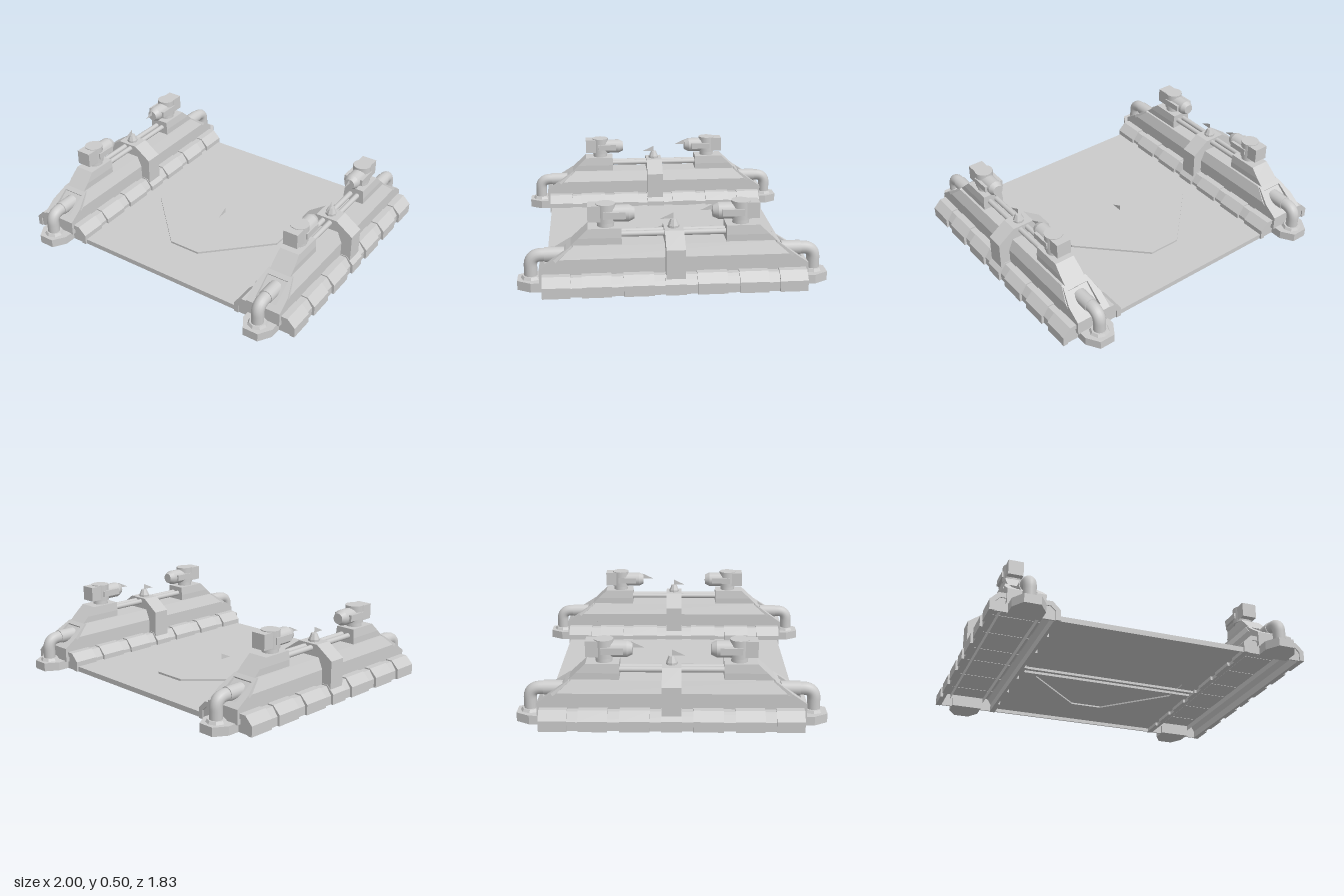
import * as THREE from 'three';

const smooth = new THREE.MeshStandardMaterial({ color: 0xcccccc, side: THREE.DoubleSide });
const flat = new THREE.MeshStandardMaterial({ color: 0xcccccc, side: THREE.DoubleSide, flatShading: true });

function add(parent, name, geo, mat = flat) {
  const m = new THREE.Mesh(geo, mat);
  m.name = name;
  parent.add(m);
  return m;
}

function box(parent, name, x0, x1, y0, y1, z0, z1) {
  const g = new THREE.BoxGeometry(x1 - x0, y1 - y0, z1 - z0);
  return add(parent, name, g.translate((x0 + x1) / 2, (y0 + y1) / 2, (z0 + z1) / 2));
}

const shapeOf = (pts) => new THREE.Shape(pts.map(([x, y]) => new THREE.Vector2(x, y)));
const extrude = (shape, depth) => new THREE.ExtrudeGeometry(shape, { depth, bevelEnabled: false });

// Profile in x/y swept from z0 to z1
function prism(parent, name, pts, z0, z1) {
  return add(parent, name, extrude(shapeOf(pts), z1 - z0).translate(0, 0, z0));
}

// Plan outline (x, z) raised from y0 to y1
function slab(parent, name, shape, y0, y1) {
  return add(parent, name, extrude(shape, y1 - y0).rotateX(-Math.PI / 2).translate(0, y0, 0));
}

// Stacked rectangles [y, halfX, zMin, zMax], open below and capped on top
function loft(parent, name, levels) {
  const pos = [], idx = [];
  for (const [y, h, a, b] of levels) pos.push(-h, y, b, h, y, b, h, y, a, -h, y, a);
  for (let l = 0; l < levels.length - 1; l++) {
    for (let i = 0; i < 4; i++) {
      const a = l * 4 + i, b = l * 4 + (i + 1) % 4;
      idx.push(a, b, b + 4, a, b + 4, a + 4);
    }
  }
  const t = (levels.length - 1) * 4;
  idx.push(t, t + 1, t + 2, t, t + 2, t + 3);
  const g = new THREE.BufferGeometry();
  g.setAttribute('position', new THREE.Float32BufferAttribute(pos, 3));
  g.setIndex(idx);
  const out = g.toNonIndexed();
  out.computeVertexNormals();
  return add(parent, name, out);
}

function cyl(parent, name, rTop, rBottom, y0, y1, z, sides = 16) {
  const g = new THREE.CylinderGeometry(rTop, rBottom, y1 - y0, sides);
  return add(parent, name, g.translate(0, (y0 + y1) / 2, z), sides > 8 ? smooth : flat);
}

// Cylinder lying along z
function rod(parent, name, r0, r1, z0, z1, x, y, sides = 16) {
  const g = new THREE.CylinderGeometry(r1, r0, z1 - z0, sides).rotateX(Math.PI / 2);
  return add(parent, name, g.translate(x, y, (z0 + z1) / 2), sides > 8 ? smooth : flat);
}

// Thin upright triangle pointing to +z
function fin(parent, y, z) {
  const g = new THREE.ShapeGeometry(shapeOf([[0, 0], [0.08, 0], [0, 0.038]]));
  return add(parent, 'pointerFin', g.rotateY(-Math.PI / 2).translate(0, y, z));
}

// Hollow arch profile with bevelled shoulders
function arch(w, side, shoulder, top, t) {
  const o = [[-w, 0], [-w, side], [-shoulder, top], [shoulder, top], [w, side], [w, 0]];
  const i = [[w - t, 0], [w - t, side - t / 3], [shoulder - t / 3, top - t],
    [-shoulder + t / 3, top - t], [-w + t, side - t / 3], [-w + t, 0]];
  return o.concat(i);
}

// Gun turret, barrel towards -z, sitting at z = 0.4
function turret() {
  const g = new THREE.Group();
  g.name = 'turret';
  cyl(g, 'turretNeck', 0.047, 0.05, 0.36, 0.41, 0.395);
  cyl(g, 'turretPivot', 0.058, 0.058, 0.39, 0.5, 0.395);
  loft(g, 'turretRear', [[0.4, 0.048, 0.4, 0.46], [0.4, 0.048, 0.4, 0.5], [0.495, 0.048, 0.4, 0.5]]);
  box(g, 'turretLugs', -0.064, 0.064, 0.42, 0.46, 0.28, 0.41);
  rod(g, 'barrel', 0.05, 0.05, 0.26, 0.39, 0, 0.438);
  rod(g, 'muzzle', 0.034, 0.05, 0.228, 0.26, 0, 0.438);
  return g;
}

// Everything at one end of a wall (+z end)
function wallEnd() {
  const g = new THREE.Group();
  g.name = 'wallEnd';

  // Sloped end face with a square recess for the pipe
  const face = shapeOf([[-0.115, 0], [0.115, 0], [0.115, 0.104], [0.085, 0.226], [-0.085, 0.226], [-0.115, 0.104]]);
  const hole = new THREE.Path();
  hole.moveTo(-0.07, 0.04).lineTo(-0.07, 0.195).lineTo(0.07, 0.195).lineTo(0.07, 0.04).closePath();
  face.holes.push(hole);
  const plate = add(g, 'slopedFrame', extrude(face, 0.03).translate(0, 0, -0.03));
  plate.position.set(0, 0.14, 0.785);
  plate.rotation.x = -Math.atan2(0.185, 0.13);

  // Gun platform
  loft(g, 'gunPlatform', [[0.27, 0.07, 0.305, 0.6], [0.31, 0.07, 0.305, 0.558], [0.365, 0.064, 0.305, 0.5]]);

  // Pipe with its foot and collars
  slab(g, 'pipeFoot', shapeOf([[-0.1, -0.73], [-0.1, -0.835], [-0.05, -0.915], [0.05, -0.915],
    [0.1, -0.835], [0.1, -0.73]]), 0, 0.055);
  cyl(g, 'footCollar', 0.052, 0.062, 0.055, 0.072, 0.835, 8);
  const path = new THREE.CurvePath();
  const v = (y, z) => new THREE.Vector3(0, y, z);
  path.add(new THREE.LineCurve3(v(0.05, 0.837), v(0.13, 0.837)));
  path.add(new THREE.QuadraticBezierCurve3(v(0.13, 0.837), v(0.195, 0.837), v(0.195, 0.77)));
  path.add(new THREE.LineCurve3(v(0.195, 0.77), v(0.195, 0.64)));
  add(g, 'pipe', new THREE.TubeGeometry(path, 30, 0.039, 16), smooth);
  rod(g, 'pipeCollar', 0.044, 0.044, 0.64, 0.755, 0, 0.195);

  g.add(turret());
  return g;
}

function sideWall() {
  const g = new THREE.Group();
  g.name = 'sideWall';

  // Hollow skirt with end plates, and bevelled ribs over it
  const skirt = arch(0.192, 0.055, 0.155, 0.107, 0.02);
  prism(g, 'skirt', skirt, -0.76, 0.76);
  for (const z of [-0.76, 0.75]) prism(g, 'skirtEnd', skirt.slice(0, 6), z, z + 0.01);
  const ribs = [[-0.06, 0.06]];
  for (const [a, b] of [[0.125, 0.3], [0.37, 0.54], [0.605, 0.768]]) ribs.push([a, b], [-b, -a]);
  for (const [a, b] of ribs) prism(g, 'rib', arch(0.208, 0.065, 0.158, 0.115, 0.03), a, b);

  // Core body
  loft(g, 'body', [[0.05, 0.115, -0.785, 0.785], [0.14, 0.115, -0.785, 0.785], [0.14, 0.115, -0.74, 0.74],
    [0.2, 0.115, -0.668, 0.668], [0.27, 0.085, -0.585, 0.585]]);

  // Centre strap with its beacon
  prism(g, 'strap', [[-0.183, 0.09], [-0.183, 0.265], [-0.07, 0.345], [0.07, 0.345], [0.183, 0.265], [0.183, 0.09]],
    -0.056, 0.056);
  cyl(g, 'beaconBase', 0.035, 0.035, 0.345, 0.358, 0, 8);
  cyl(g, 'beacon', 0.018, 0.034, 0.358, 0.395, 0, 8);
  fin(g, 0.395, 0);

  // Twin rods between the platforms
  for (const x of [-0.024, 0.024]) rod(g, 'linkRod', 0.017, 0.017, -0.31, 0.31, x, 0.318);

  const front = wallEnd(), back = wallEnd();
  back.rotation.y = Math.PI;
  g.add(front, back);
  fin(g, 0.443, -0.236);
  return g;
}

export function createModel() {
  const model = new THREE.Group();
  model.name = 'landingPad';

  // Floor plate with an eight-sided opening under a raised panel
  const a = 0.105, b = 0.475;
  const octagon = [[a, b], [b, a], [b, -a], [a, -b], [-a, -b], [-b, -a], [-b, a], [-a, b]];
  const floor = shapeOf([[-0.6, -0.755], [0.6, -0.755], [0.6, 0.755], [-0.6, 0.755]]);
  floor.holes.push(shapeOf(octagon));
  slab(model, 'floor', floor, 0.023, 0.033);
  slab(model, 'octagonPanel', shapeOf(octagon), 0.033, 0.046);
  for (const z of [-0.757, 0.747]) box(model, 'floorRim', -0.6, 0.6, 0, 0.033, z, z + 0.01);
  for (const z of [-0.035, 0.025]) box(model, 'underBeam', -0.6, 0.6, 0.008, 0.024, z, z + 0.01);
  fin(model, 0.046, 0);

  for (const x of [-0.792, 0.792]) {
    const wall = sideWall();
    wall.position.x = x;
    model.add(wall);
  }
  return model;
}
